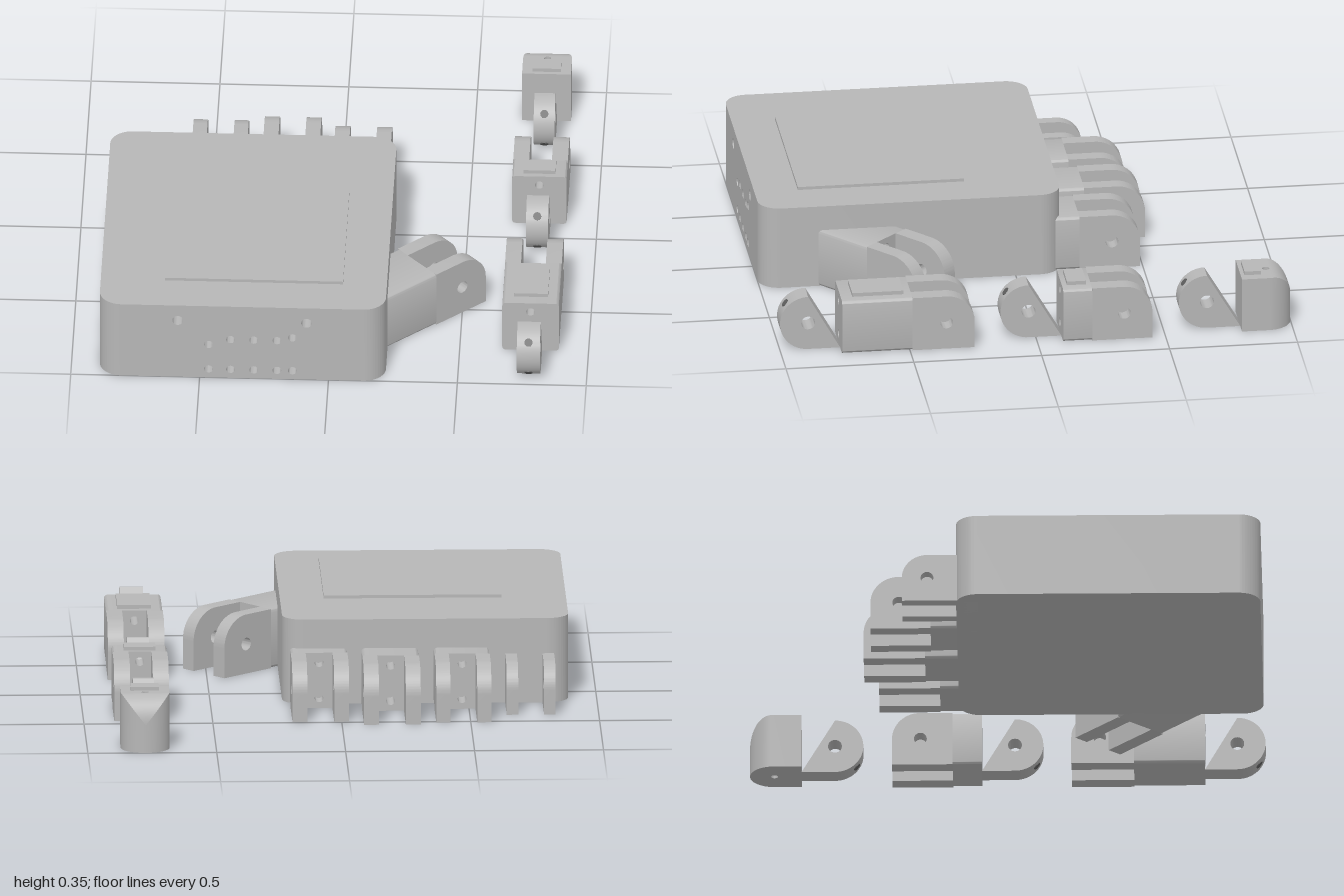
import * as THREE from 'three';
import { toCreasedNormals } from 'three/addons/utils/BufferGeometryUtils.js';

const grey = new THREE.MeshStandardMaterial({ color: 0xb6b6b6 });
grey.name = 'plain grey';
const dark = new THREE.MeshStandardMaterial({ color: 0x606060 });
dark.name = 'hole shadow grey';

const PI = Math.PI;
const H = 0.22; // finger height

function mesh(name, geometry, parent, material = grey) {
  const m = new THREE.Mesh(geometry, material);
  m.name = name;
  parent.add(m);
  return m;
}

function block(name, parent, x0, x1, y0, y1, z0, z1) {
  const m = mesh(name, new THREE.BoxGeometry(x1 - x0, y1 - y0, z1 - z0), parent);
  m.position.set((x0 + x1) / 2, (y0 + y1) / 2, (z0 + z1) / 2);
  return m;
}

function addHole(shape, x, y, r) {
  shape.holes.push(new THREE.Path().absarc(x, y, r, 0, PI * 2, true));
}

function extrude(shape, depth) {
  const g = new THREE.ExtrudeGeometry(shape, { depth, bevelEnabled: false, curveSegments: 16 });
  return toCreasedNormals(g, 0.5);
}

// Side profile (horizontal axis runs towards -z) swept across x, centred on x
function sideExtrude(shape, width) {
  return extrude(shape, width).translate(0, 0, -width / 2).rotateY(PI / 2);
}

// Plan outline (second axis runs towards -z) swept upwards
function planExtrude(shape, height) {
  return extrude(shape, height).rotateX(-PI / 2);
}

// Hinge prong: rounded above, square below so the joint stops when straight
function prong(length, h, width) {
  const r = h / 2;
  const s = new THREE.Shape();
  s.moveTo(0, 0).lineTo(length, 0).lineTo(length, h - r);
  s.absarc(length - r, h - r, r, 0, PI / 2, false).lineTo(0, h);
  addHole(s, length - r, r, 0.025);
  return sideExtrude(s, width);
}

// Block with two tendon channels running along z
function channelBlock(halfWidth, h, depth) {
  const r = 0.014, w = halfWidth;
  const s = new THREE.Shape();
  s.absarc(w - r, r, r, -PI / 2, 0, false).absarc(w - r, h - r, r, 0, PI / 2, false);
  s.absarc(-w + r, h - r, r, PI / 2, PI, false).absarc(-w + r, r, r, PI, PI * 1.5, false);
  addHole(s, 0, h - 0.04, 0.017);
  addHole(s, 0, 0.04, 0.017);
  return extrude(s, depth);
}

// Fork: origin at the floor of the slot, prongs towards -z, base towards +z
function fork(name, parent, x, z, half, slotHalf, length, base, h) {
  const g = new THREE.Group();
  g.name = name;
  g.position.set(x, 0, z);
  parent.add(g);
  mesh('forkBase', channelBlock(half, h, base), g);
  const w = half - slotHalf;
  for (const side of [-1, 1]) {
    mesh('forkProng', prong(length, h, w), g).position.x = side * (slotHalf + w / 2);
  }
  return g;
}

// Fully rounded hinge tongue from zBack towards +z, with tendon exits on its end
function tongue(parent, x, zBack, length, width) {
  const r = H / 2, c = length - r;
  const s = new THREE.Shape();
  s.moveTo(0, H).absarc(-c, r, r, PI / 2, PI * 1.5, false).lineTo(0, 0);
  addHole(s, -c, r, 0.027);
  mesh('hingeTongue', sideExtrude(s, width), parent).position.set(x, 0, zBack);
  for (const side of [-1, 1]) {
    const a = side * 0.69;
    const d = mesh('tendonExit', new THREE.CylinderGeometry(0.016, 0.016, 0.005, 16), parent, dark);
    d.position.set(x, r + Math.sin(a) * r, zBack + c + Math.cos(a) * r);
    d.rotation.x = PI / 2 - a;
  }
}

function buildPalm(parent) {
  const x0 = -0.89, x1 = 0.22, r = 0.085, h = 0.335, zSlab = 0.93;
  const s = new THREE.Shape();
  s.moveTo(x1 - r, -1);
  s.absarc(x1 - r, -1 + r, r, -PI / 2, 0, false);
  s.absarc(x1 - r, 0.18 - r, r, 0, PI / 2, false);
  s.absarc(x0 + r, 0.18 - r, r, PI / 2, PI, false);
  s.absarc(x0 + r, -1 + r, r, PI, PI * 1.5, false);
  s.lineTo(x0 + r, -zSlab).lineTo(x1 - r, -zSlab);
  mesh('palm', planExtrude(s, h), parent);

  // Front wall with tendon holes and two screw holes
  const f = new THREE.Shape();
  f.moveTo(x0 + r, 0).lineTo(x1 - r, 0).lineTo(x1 - r, h).lineTo(x0 + r, h);
  const columns = [[-0.465, 0.155], [-0.38, 0.18], [-0.29, 0.18], [-0.2, 0.18], [-0.14, 0.195]];
  for (const [x, y] of columns) {
    addHole(f, x, y, 0.017);
    addHole(f, x, 0.04, 0.017);
  }
  for (const x of [-0.585, -0.085]) addHole(f, x, 0.265, 0.021);
  mesh('palmFrontWall', extrude(f, 1 - zSlab), parent).position.z = zSlab;

  block('palmCover', parent, -0.64, 0.05, h - 0.01, 0.347, 0.18, 0.83);
}

function buildTip(parent, x) {
  const g = new THREE.Group();
  g.name = 'fingerTip';
  parent.add(g);
  const r = 0.095, zc = -0.905, zCut = -0.92;
  const halfWidth = z => (z > zc ? r : Math.sqrt(Math.max(0, r * r - (z - zc) ** 2)));

  // Straight part with a vertical hole
  const s = new THREE.Shape();
  const w = halfWidth(zCut);
  s.moveTo(-r, 0.8).lineTo(r, 0.8).lineTo(r, -zc).lineTo(w, -zCut).lineTo(-w, -zCut).lineTo(-r, -zc);
  addHole(s, 0, -zc, 0.014);
  mesh('tipBase', planExtrude(s, H), g).position.x = x;

  // Nose, narrowing in plan and rounded over the top
  const nose = new THREE.BoxGeometry(2, 1, 1, 1, 1, 20);
  const p = nose.attributes.position;
  for (let i = 0; i < p.count; i++) {
    const t = Math.sin((0.5 - p.getZ(i)) * PI / 2);
    const z = zCut - 0.08 * t;
    const top = H / 2 + (H / 2) * Math.sqrt(Math.max(0, 1 - t * t));
    p.setXYZ(i, p.getX(i) * halfWidth(z), p.getY(i) > 0 ? top : 0, z);
  }
  nose.computeVertexNormals();
  mesh('tipNose', nose, g).position.x = x;

  tongue(g, x, -0.8, 0.24, 0.082);
  block('tipPad', g, x - 0.055, x + 0.055, H - 0.01, 0.235, -0.88, -0.815);
}

export function createModel() {
  const model = new THREE.Group();
  model.name = 'handParts';
  buildPalm(model);

  // Knuckle forks along the back of the palm
  fork('littleKnuckle', model, -0.738, -0.175, 0.095, 0.05, 0.215, 0.08, 0.195);
  fork('ringKnuckle', model, -0.473, -0.282, 0.107, 0.052, 0.233, 0.18, H);
  fork('middleKnuckle', model, -0.195, -0.307, 0.11, 0.052, 0.238, 0.2, H);
  fork('indexKnuckle', model, 0.081, -0.253, 0.11, 0.052, 0.237, 0.15, H);

  // Thumb fork, set at an angle
  const thumb = fork('thumbKnuckle', model, 0.325, 0.52, 0.116, 0.056, 0.25, 0.3, 0.235);
  thumb.rotation.y = -0.835;

  // Loose finger laid out beside the palm
  const x = 0.775;
  const lower = new THREE.Group();
  lower.name = 'lowerFingerSegment';
  model.add(lower);
  fork('lowerFork', lower, x, 0.49, 0.11, 0.048, 0.243, 0.275, H);
  tongue(lower, x, 0.765, 0.235, 0.09);
  block('lowerPad', lower, x - 0.066, x + 0.066, H - 0.01, 0.235, 0.52, 0.72);

  const middle = new THREE.Group();
  middle.name = 'middleFingerSegment';
  model.add(middle);
  fork('middleFork', middle, x, -0.213, 0.106, 0.044, 0.235, 0.113, H);
  tongue(middle, x, -0.1, 0.238, 0.086);
  block('middlePad', middle, x - 0.062, x + 0.062, H - 0.01, 0.235, -0.195, -0.12);

  buildTip(model, x);
  return model;
}
